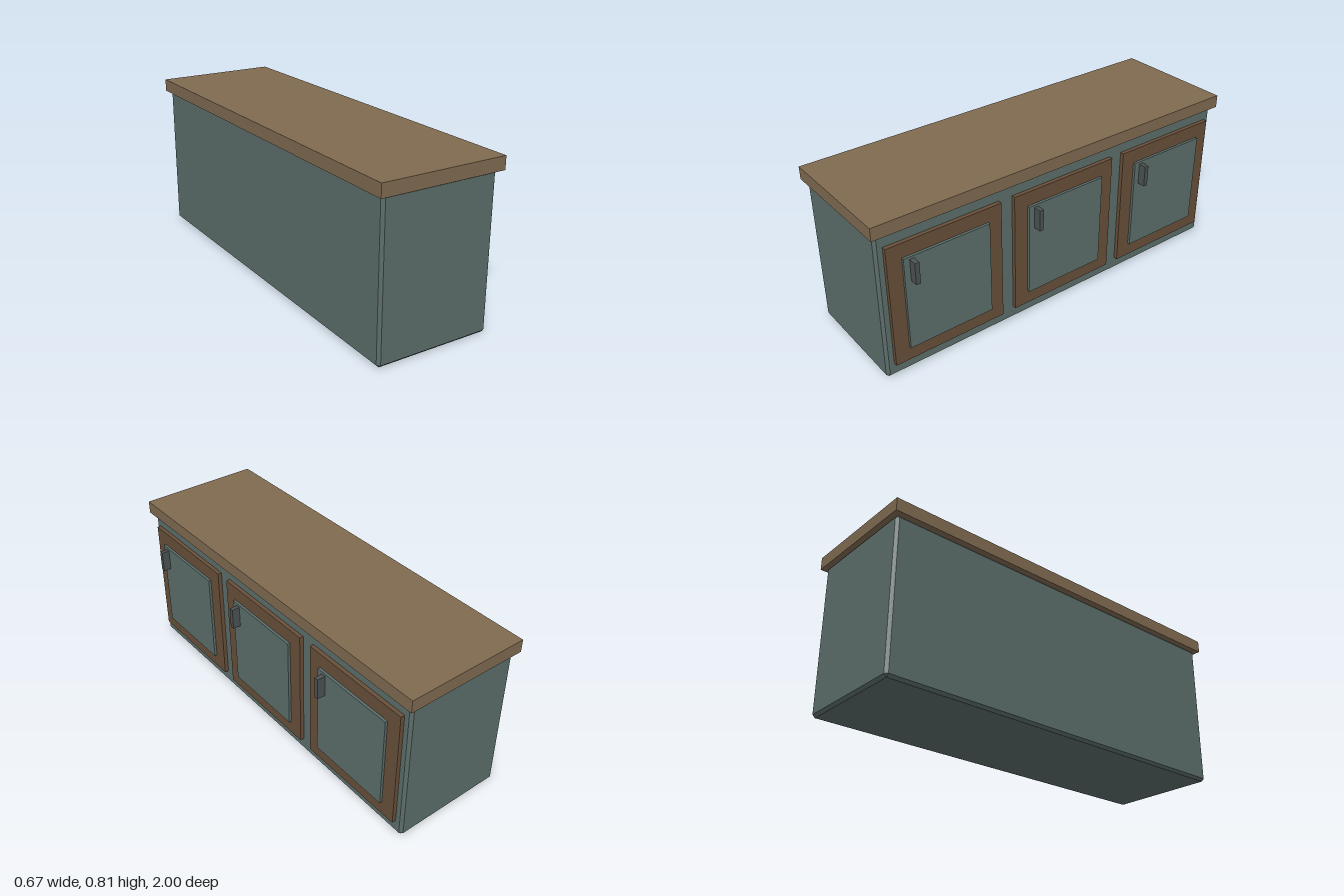
import * as THREE from 'three';
import { ConvexGeometry } from 'three/addons/geometries/ConvexGeometry.js';

const material = (color) => new THREE.MeshStandardMaterial({ color, flatShading: true });

// Box with every edge cut by a flat chamfer
function chamferedBox(w, h, d, c) {
  const points = [];
  for (const sx of [-1, 1]) for (const sy of [-1, 1]) for (const sz of [-1, 1]) {
    const x = w / 2, y = h / 2, z = d / 2;
    points.push(
      new THREE.Vector3(sx * x, sy * (y - c), sz * (z - c)),
      new THREE.Vector3(sx * (x - c), sy * y, sz * (z - c)),
      new THREE.Vector3(sx * (x - c), sy * (y - c), sz * z));
  }
  return new ConvexGeometry(points);
}

export function createModel() {
  const group = new THREE.Group();
  const paint = material(0x5b6d6a);
  const topWood = material(0x7f6a50);
  const frameWood = material(0x674f39);
  const metal = material(0x4b5351);

  function add(parent, name, geometry, mat, x, y, z) {
    const mesh = new THREE.Mesh(geometry, mat);
    mesh.name = name;
    mesh.position.set(x, y, z);
    parent.add(mesh);
  }

  // Cabinet body and overhanging worktop
  add(group, 'cabinetBody', chamferedBox(0.578, 0.75, 1.96, 0.013), paint, -0.026, 0.375, 0);
  add(group, 'worktop', new THREE.BoxGeometry(0.625, 0.063, 2), topWood, -0.0255, 0.7785, 0);

  // Three doors along the +x side: frame, raised panel, handle
  const frameGeometry = new THREE.BoxGeometry(0.03, 0.615, 0.58);
  const panelGeometry = new THREE.BoxGeometry(0.03, 0.472, 0.436);
  const handleGeometry = new THREE.BoxGeometry(0.045, 0.108, 0.022);
  for (const i of [-1, 0, 1]) {
    const door = new THREE.Group();
    door.name = 'door';
    door.position.z = i * 0.652;
    add(door, 'doorFrame', frameGeometry, frameWood, 0.268, 0.3765, 0);
    add(door, 'doorPanel', panelGeometry, paint, 0.281, 0.376, 0);
    add(door, 'doorHandle', handleGeometry, metal, 0.3135, 0.546, 0.178);
    group.add(door);
  }
  return group;
}
